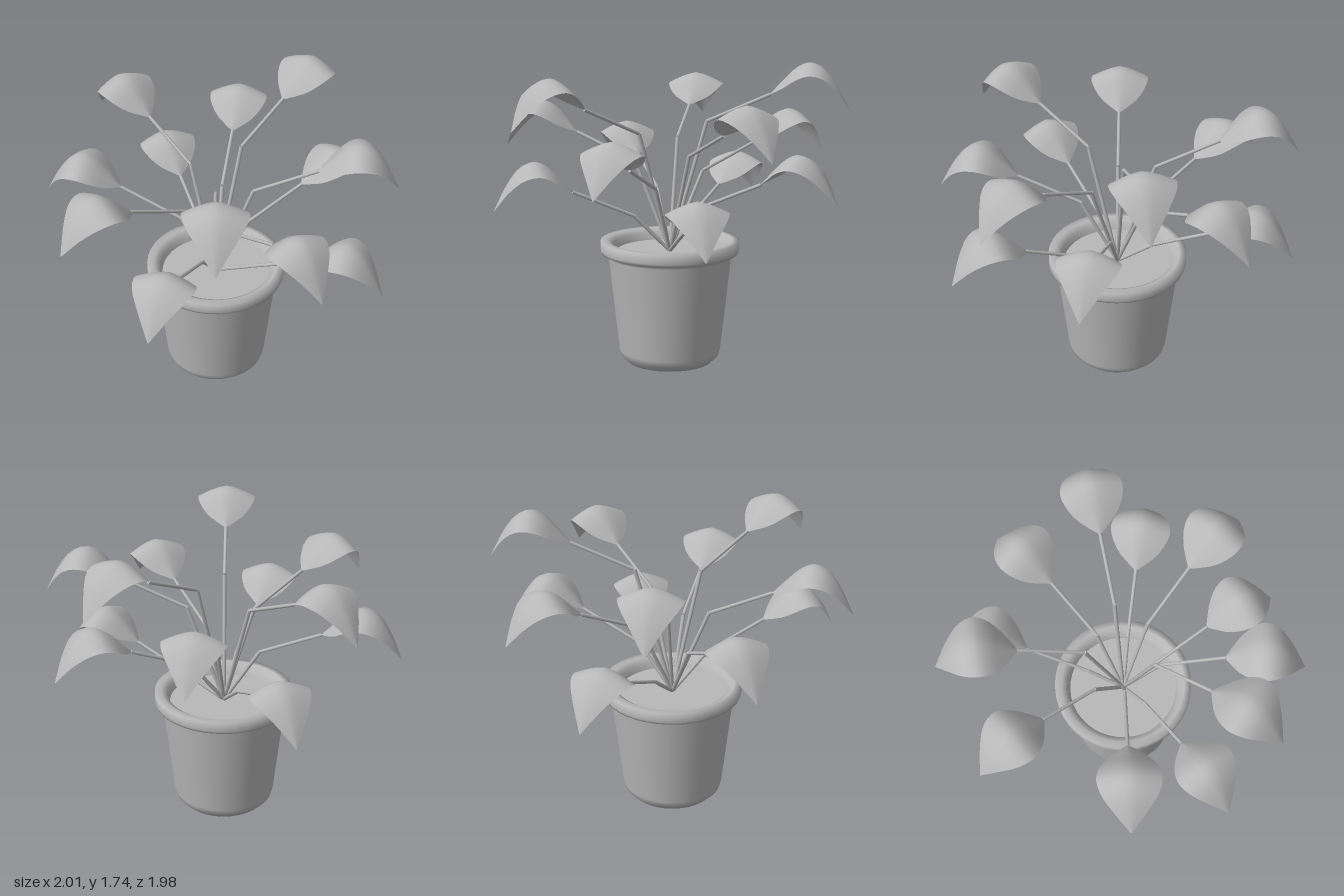
import * as THREE from 'three';

const LEAVES = 12;
const GOLDEN_ANGLE = THREE.MathUtils.degToRad(137.5);
const SOIL_Y = 0.65;

// Leaf centreline: x = distance from base, y = height, z = half width
const leafRows = new THREE.CatmullRomCurve3([
  [0, 0, 0.004], [0.08, 0.085, 0.105], [0.15, 0.152, 0.155], [0.215, 0.18, 0.17],
  [0.29, 0.155, 0.148], [0.37, 0.06, 0.085], [0.45, -0.09, 0.002],
].map((p) => new THREE.Vector3(...p)));

// Arched, drooping blade folded down on both sides of the midrib
function leafGeometry() {
  const geo = new THREE.PlaneGeometry(1, 1, 8, 14);
  const pos = geo.attributes.position;
  for (let i = 0; i < pos.count; i++) {
    const across = pos.getX(i) * 2;
    const row = leafRows.getPoint(0.5 + pos.getY(i));
    const drop = 0.065 * (row.z / 0.17) * Math.abs(across) ** 1.4;
    pos.setXYZ(i, row.x, row.y - drop, across * row.z);
  }
  // Reverse the winding so the blade faces up
  const idx = geo.index;
  for (let i = 0; i < idx.count; i += 3) {
    const b = idx.getX(i + 1);
    idx.setX(i + 1, idx.getX(i + 2));
    idx.setX(i + 2, b);
  }
  geo.computeVertexNormals();
  return geo;
}

// Straight rod between two points
function rod(a, b, radius, material, name) {
  const dir = b.clone().sub(a);
  const mesh = new THREE.Mesh(new THREE.CylinderGeometry(radius, radius, dir.length(), 8), material);
  mesh.position.copy(a).add(b).multiplyScalar(0.5);
  mesh.quaternion.setFromUnitVectors(new THREE.Vector3(0, 1, 0), dir.normalize());
  mesh.name = name;
  return mesh;
}

function lathe(points, material, name) {
  const profile = points.map(([r, y]) => new THREE.Vector2(r, y));
  const mesh = new THREE.Mesh(new THREE.LatheGeometry(profile, 40), material);
  mesh.name = name;
  return mesh;
}

export function createModel() {
  const grey = new THREE.MeshStandardMaterial({ color: 0xb8b8b8, side: THREE.DoubleSide });
  grey.name = 'plain grey';

  const model = new THREE.Group();
  model.name = 'pottedPlant';
  const plant = new THREE.Group();
  plant.name = 'plant';
  plant.position.set(-0.01, 0, -0.01);
  model.add(plant);

  // Pot with rolled rim
  plant.add(lathe([
    [0, 0], [0.25, 0], [0.285, 0.035], [0.295, 0.07], [0.355, 0.62], [0.36, 0.635],
    [0.395, 0.645], [0.4, 0.66], [0.4, 0.715], [0.36, 0.717], [0.325, 0.695], [0.31, 0.64],
  ], grey, 'pot'));

  // Soil
  const soil = new THREE.Mesh(new THREE.CircleGeometry(0.315, 40), grey);
  soil.rotation.x = -Math.PI / 2;
  soil.position.y = SOIL_Y;
  soil.name = 'soil';
  plant.add(soil);

  // Leaves climb steadily around a spiral, each on a bent stem
  const blade = leafGeometry();
  for (let k = 0; k < LEAVES; k++) {
    const rise = 0.06 * k;
    const shoot = new THREE.Group();
    shoot.name = `shoot${k + 1}`;
    shoot.rotation.y = k * GOLDEN_ANGLE;

    const root = new THREE.Vector3(0, SOIL_Y, 0);
    const bend = new THREE.Vector3(0.21, 0.745 + rise, 0);
    const tip = new THREE.Vector3(0.565, 0.9 + rise, 0);
    shoot.add(rod(root, bend, 0.011, grey, 'lowerStem'), rod(bend, tip, 0.01, grey, 'upperStem'));

    const leaf = new THREE.Mesh(blade, grey);
    leaf.position.set(0.56, 0.9 + rise, 0);
    leaf.name = 'leaf';
    shoot.add(leaf);
    plant.add(shoot);
  }
  return model;
}
